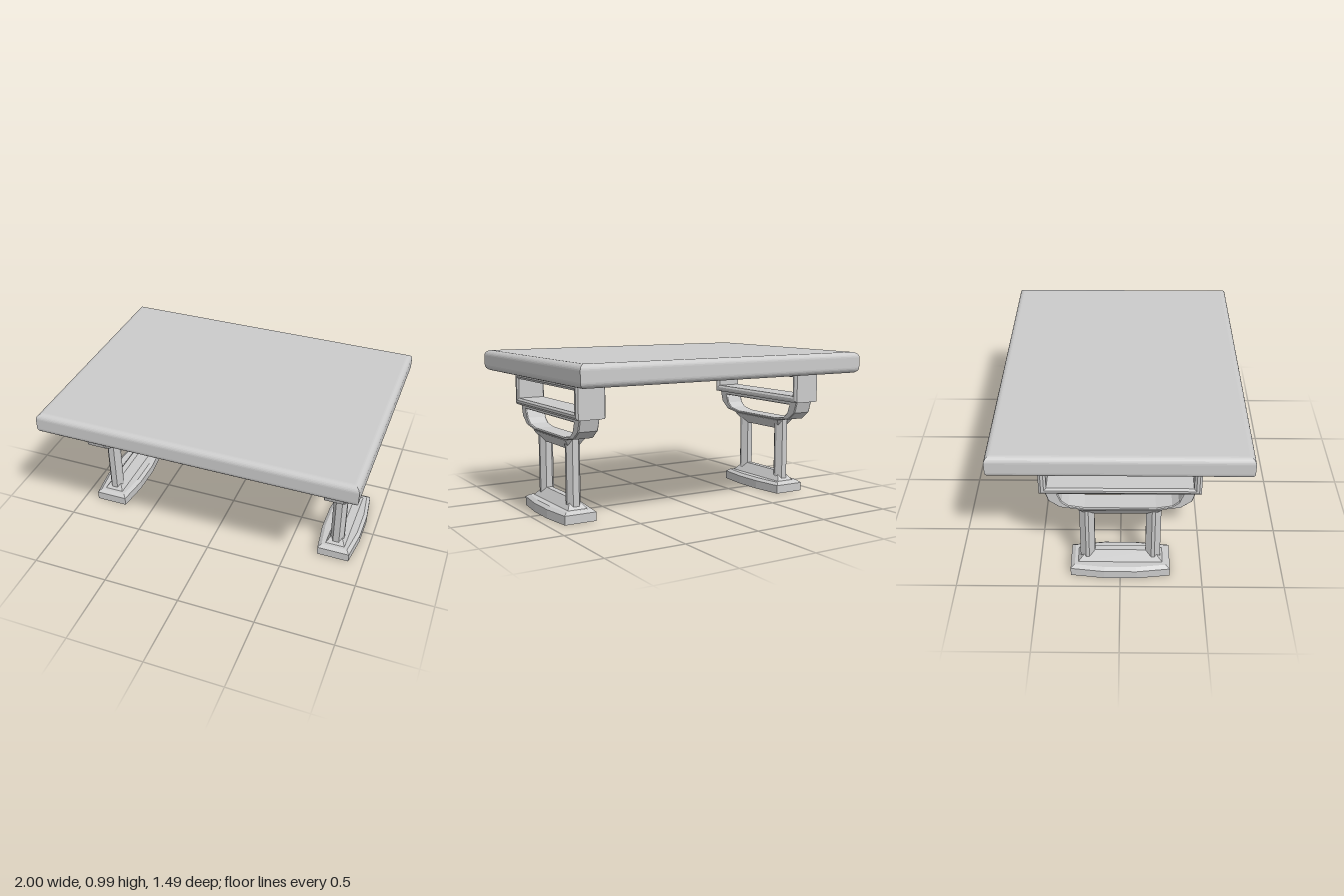
import * as THREE from 'three';

const material = new THREE.MeshStandardMaterial({ color: 0xcccccc, flatShading: true });

function mesh(name, geometry) {
  const m = new THREE.Mesh(geometry, material);
  m.name = name;
  return m;
}

// Plan outlines as [x, z] points, counter-clockwise seen from above
const rect = (hx, hz) => [[hx, hz], [hx, -hz], [-hx, -hz], [-hx, hz]];
const octagon = (hx, hz, fx, fz) => [
  [fx, hz], [hx, fz], [hx, -fz], [fx, -hz],
  [-fx, -hz], [-hx, -fz], [-hx, fz], [-fx, hz],
];

// Closed solid through stacked outlines, bottom to top: [{ y, plan }, ...]
function loft(rings) {
  const pos = [];
  const tri = (...pts) => pts.forEach((p) => pos.push(...p));
  const loops = rings.map(({ y, plan }) => plan.map(([x, z]) => [x, y, z]));
  const n = loops[0].length;
  for (let r = 0; r < loops.length - 1; r++) {
    const a = loops[r], b = loops[r + 1];
    for (let i = 0; i < n; i++) {
      const j = (i + 1) % n;
      tri(a[i], a[j], b[j]);
      tri(a[i], b[j], b[i]);
    }
  }
  const bottom = loops[0], top = loops[loops.length - 1];
  for (let i = 1; i < n - 1; i++) {
    tri(top[0], top[i], top[i + 1]);
    tri(bottom[0], bottom[i + 1], bottom[i]);
  }
  const g = new THREE.BufferGeometry();
  g.setAttribute('position', new THREE.Float32BufferAttribute(pos, 3));
  g.computeVertexNormals();
  return g;
}

// Ring in the z-y plane, from half outlines mirrored over z = 0, thick along x
function ring(outer, inner, width, bevelSize, bevelThickness) {
  const mirror = (half) => [
    ...half, ...half.slice().reverse().map(([z, y]) => [-z, y]),
  ].map(([z, y]) => new THREE.Vector2(z, y));
  const shape = new THREE.Shape(mirror(outer));
  shape.holes.push(new THREE.Path(mirror(inner)));
  const depth = width - 2 * bevelThickness;
  const g = new THREE.ExtrudeGeometry(shape, {
    depth, bevelEnabled: true, bevelSegments: 1, bevelSize, bevelThickness, bevelOffset: -bevelSize,
  });
  return g.translate(0, 0, -depth / 2).rotateY(-Math.PI / 2);
}

// Slab with rounded edges and mitred corners
function tableTop() {
  const r = 0.036, steps = 7, y0 = 0.855, y1 = 0.99;
  const rings = [];
  for (const upper of [false, true]) {
    for (let i = 0; i <= steps; i++) {
      const a = ((upper ? steps - i : i) / steps) * Math.PI / 2;
      const inset = r * (1 - Math.sin(a)), rise = r * (1 - Math.cos(a));
      rings.push({ y: upper ? y1 - rise : y0 + rise, plan: rect(1 - inset, 0.745 - inset) });
    }
  }
  return mesh('tableTop', loft(rings));
}

function pedestal() {
  const g = new THREE.Group();

  // Open box under the top
  g.add(mesh('upperFrame', ring(
    [[0.47, 0.645], [0.47, 0.865]],
    [[0.425, 0.688], [0.425, 0.815]], 0.19, 0.014, 0.01)));

  // Bowl-shaped bracket
  g.add(mesh('bowlBracket', ring(
    [[0.235, 0.5], [0.355, 0.52], [0.42, 0.57], [0.445, 0.655]],
    [[0.21, 0.516], [0.305, 0.533], [0.343, 0.565], [0.365, 0.622]], 0.13, 0.005, 0.006)));

  // Pair of eight-sided posts
  for (const side of [1, -1]) {
    const plan = octagon(0.045, 0.045, 0.02, 0.01);
    const post = mesh('post', loft([{ y: 0.06, plan }, { y: 0.505, plan }]));
    post.position.z = side * 0.2;
    g.add(post);
  }

  // Wedge rails joining the posts above and below
  const wide = rect(0.065, 0.262), narrow = rect(0.02, 0.2);
  g.add(mesh('lowerRail', loft([{ y: 0.07, plan: wide }, { y: 0.135, plan: narrow }])));
  g.add(mesh('upperRail', loft([{ y: 0.435, plan: narrow }, { y: 0.5, plan: rect(0.065, 0.245) }])));

  // Boat-shaped foot with a chamfered top
  const foot = octagon(0.13, 0.305, 0.105, 0.1);
  g.add(mesh('foot', loft([
    { y: 0, plan: foot }, { y: 0.056, plan: foot },
    { y: 0.073, plan: octagon(0.108, 0.28, 0.085, 0.095) },
  ])));
  return g;
}

export function createModel() {
  const model = new THREE.Group();
  model.name = 'table';
  model.add(tableTop());
  for (const side of [1, -1]) {
    const p = pedestal();
    p.name = side > 0 ? 'leftPedestal' : 'rightPedestal';
    p.position.x = side * 0.8;
    model.add(p);
  }
  return model;
}
